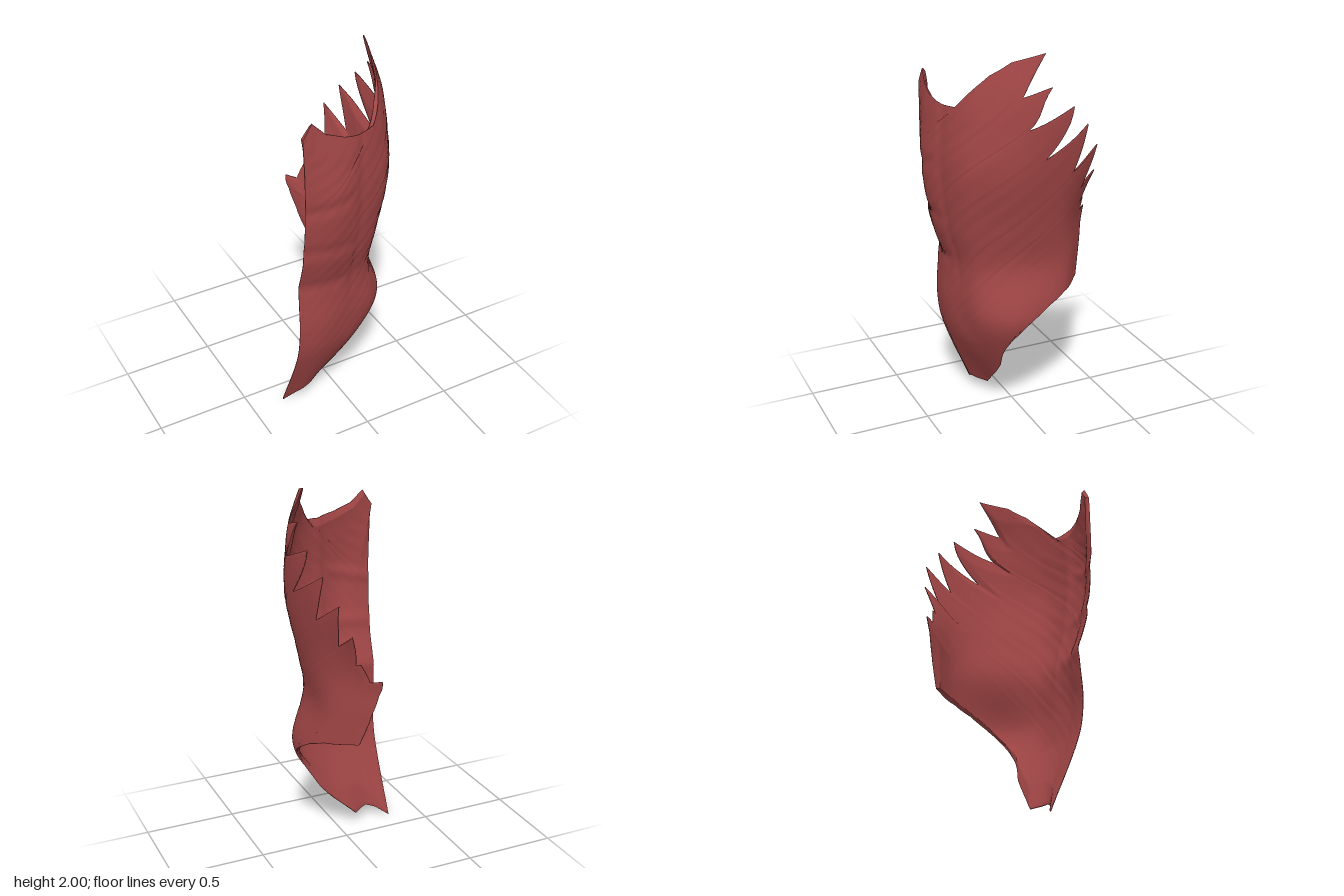
import * as THREE from 'three';

// Horizontal cross-sections by height: z at the front edge, then x,z pairs around the side to the back
const LEVELS = [0, .4, .6, .87, 1.08, 1.4, 1.65, 1.8, 2];
const SECTIONS = [
  [.12, -.20, .125, -.10, .05, .00, -.01, .03, -.10, .00, -.25, -.10, -.35],
  [.28, -.17, .29, .00, .26, .13, .185, .20, .09, .22, -.10, .10, -.30],
  [.31, -.15, .33, .00, .30, .17, .245, .277, .09, .245, -.16, .10, -.33],
  [.30, -.15, .33, .00, .31, .14, .235, .215, .04, .20, -.22, .045, -.38],
  [.35, -.15, .385, .00, .36, .155, .275, .245, .04, .215, -.21, .00, -.43],
  [.38, -.15, .43, .00, .395, .195, .305, .305, .07, .28, -.20, .18, -.42],
  [.38, -.15, .41, .00, .385, .19, .28, .31, .06, .313, -.16, .24, -.38],
  [.375, -.15, .385, .00, .365, .15, .28, .275, .10, .31, -.08, .30, -.30],
  [.36, -.15, .36, .00, .34, .12, .24, .20, .10, .265, -.06, .29, -.25],
].map((s, i) => [-.303 - .017 * (LEVELS[i] - 1) ** 2, ...s]);
const KNOTS = [0, 1, 2, 3, 4, 5, 6].map((i) => i / 6);

// Outline points: [axis, coordinate, height]; 'x' locates across the front, 'z' along the side
const TOP_EDGE = [
  ['x', -.33, 1.78], ['x', -.265, 1.855], ['x', -.2, 1.79], ['x', -.1, 1.75],
  ['x', 0, 1.73], ['x', .1, 1.735], ['z', .2, 1.9], ['z', .1, 1.96],
];
// Tooth tips and notches in turn: z, height
const TEETH = [
  [-.06, 2], [.07, 1.8], [-.08, 1.84], [.05, 1.64], [-.2, 1.73], [-.04, 1.48], [-.3, 1.62],
  [-.22, 1.38], [-.38, 1.49], [-.31, 1.26], [-.4, 1.33], [-.35, 1.16], [-.37, 1.165],
];
// Lower edge points, each with z and height of its partner on the back flap
const LOWER_EDGE = [
  ['x', -.25, .05, -.38, 1.07], ['x', -.19, .075, -.425, 1.08], ['x', -.1, .07, -.425, 1.075],
  ['x', .03, .19, -.423, 1.065], ['x', .11, .28, -.421, 1.055], ['z', .118, .44, -.418, 1.04],
  ['z', .1, .51, -.405, 1], ['z', 0, .6, -.39, .92], ['z', -.1, .66, -.375, .85],
  ['z', -.2, .7, -.36, .79], ['z', -.34, .72, -.34, .72],
];

// Fibres run from the front or lower edge up to the top, toothed or back edge
const front = (y) => ['x', -.33, y];
const FIBRES = [
  ...TOP_EDGE.map((p, i) => [front(1.78 - .08 * i), p]),
  ...TEETH.map(([z, y], i) => [front(1.14 * (1 - i / (TEETH.length - 1))), ['z', z, y]]),
  ...LOWER_EDGE.map(([axis, v, y, backZ, backY]) => [[axis, v, y], ['z', backZ, backY]]),
];
const FIRST_LOWER = TOP_EDGE.length + TEETH.length - 1;

// Smooth interpolation over unevenly spaced knots
function smooth(ks, value, k) {
  const n = ks.length - 1;
  k = Math.min(Math.max(k, ks[0]), ks[n]);
  let i = 0;
  while (i < n - 1 && k > ks[i + 1]) i++;
  const slope = (j) => {
    const a = Math.max(j - 1, 0), b = Math.min(j + 1, n);
    return (value(b) - value(a)) / (ks[b] - ks[a]);
  };
  const h = ks[i + 1] - ks[i], t = (k - ks[i]) / h, t2 = t * t, t3 = t2 * t;
  return (2 * t3 - 3 * t2 + 1) * value(i) + (t3 - 2 * t2 + t) * h * slope(i)
    + (3 * t2 - 2 * t3) * value(i + 1) + (t3 - t2) * h * slope(i + 1);
}

// Point on the sheet at fraction s around the section of height y
function sheet(s, y) {
  const coord = (c) => smooth(KNOTS, (i) => smooth(LEVELS, (l) => SECTIONS[l][2 * i + c], y), s);
  return new THREE.Vector3(coord(0), y, coord(1));
}

// Turn an outline point into (s, y) by bisection
function locate([axis, target, y]) {
  let lo = axis === 'x' ? 0 : .35, hi = axis === 'x' ? .67 : 1;
  for (let i = 0; i < 24; i++) {
    const mid = (lo + hi) / 2, p = sheet(mid, y);
    if (axis === 'x' ? p.x < target : p.z > target) lo = mid; else hi = mid;
  }
  return new THREE.Vector2((lo + hi) / 2, y);
}

// Cross creases over the front, the long groove beside them, and fine fibre ridges
function relief(s, y, fibre, u) {
  const { smoothstep } = THREE.MathUtils;
  const bump = (v, c, w) => Math.exp(-(((v - c) / w) ** 2));
  const frontPart = 1 - smoothstep(s, .2, .36);
  const creases = bump(y, .88, .04) + bump(y, 1.13, .035) + bump(y, 1.37 + s * .2, .035);
  const groove = bump(s, .335, .025) * smoothstep(y, .65, .9);
  const ridges = Math.sin(fibre * 6.3 + Math.sin(u * 9)) + .6 * Math.sin(fibre * 14.1 + u * 5);
  const fade = Math.sin(Math.PI * u) * (1 - smoothstep(fibre, FIRST_LOWER - 4, FIRST_LOWER + 2));
  return -.008 * frontPart * creases - .006 * groove + .001 * ridges * fade;
}

function muscleGeometry() {
  const SUB = 6, COLS = 56, rows = (FIBRES.length - 1) * SUB, W = COLS + 1;
  const ends = FIBRES.map((f) => f.map(locate));
  const outer = [], inner = [], index = [];
  for (let r = 0; r <= rows; r++) {
    const k = Math.min(Math.floor(r / SUB), FIBRES.length - 2), f = r / SUB - k;
    const a = ends[k][0].clone().lerp(ends[k + 1][0], f);
    const b = ends[k][1].clone().lerp(ends[k + 1][1], f);
    // lower fibres bow upward to follow the hollow lower edge
    const low = Math.max(0, (r / SUB - FIRST_LOWER) / (FIBRES.length - 1 - FIRST_LOWER));
    const bow = .14 * Math.sin(Math.PI * low);
    for (let c = 0; c <= COLS; c++) {
      const u = c / COLS, e = .01, s = a.x + (b.x - a.x) * u;
      const y = a.y + (b.y - a.y) * u + bow * u * (1 - u);
      const p = sheet(s, y);
      const ds = sheet(Math.min(s + e, 1), y).sub(sheet(Math.max(s - e, 0), y));
      const dy = sheet(s, Math.min(y + e, 2)).sub(sheet(s, Math.max(y - e, 0)));
      const n = ds.cross(dy).normalize();
      const thick = .006 + .016 * Math.min(1, 8 * Math.min(u, 1 - u));
      p.addScaledVector(n, relief(s, y, r / SUB, u));
      outer.push(p.x, Math.max(p.y, 0), p.z);
      p.addScaledVector(n, -thick);
      inner.push(p.x, Math.max(p.y, 0), p.z);
    }
  }
  const off = W * (rows + 1);
  const quad = (a, b, c, d) => index.push(a, c, b, b, c, d);
  for (let r = 0; r < rows; r++) {
    for (let c = 0; c < COLS; c++) {
      const i = r * W + c;
      quad(i, i + 1, i + W, i + W + 1);
      quad(off + i + 1, off + i, off + i + W + 1, off + i + W);
    }
    // rims joining the outer and inner skins
    const l = r * W, e = l + COLS;
    quad(off + l, l, off + l + W, l + W);
    quad(e, off + e, e + W, off + e + W);
  }
  const g = new THREE.BufferGeometry();
  g.setAttribute('position', new THREE.Float32BufferAttribute(outer.concat(inner), 3));
  g.setIndex(index);
  g.computeVertexNormals();
  return g;
}

export function createModel() {
  const group = new THREE.Group();
  group.name = 'abdominalMuscle';
  const material = new THREE.MeshStandardMaterial({ color: 0xa04545, side: THREE.DoubleSide });
  const muscle = new THREE.Mesh(muscleGeometry(), material);
  muscle.name = 'muscleSheet';
  group.add(muscle);
  return group;
}
